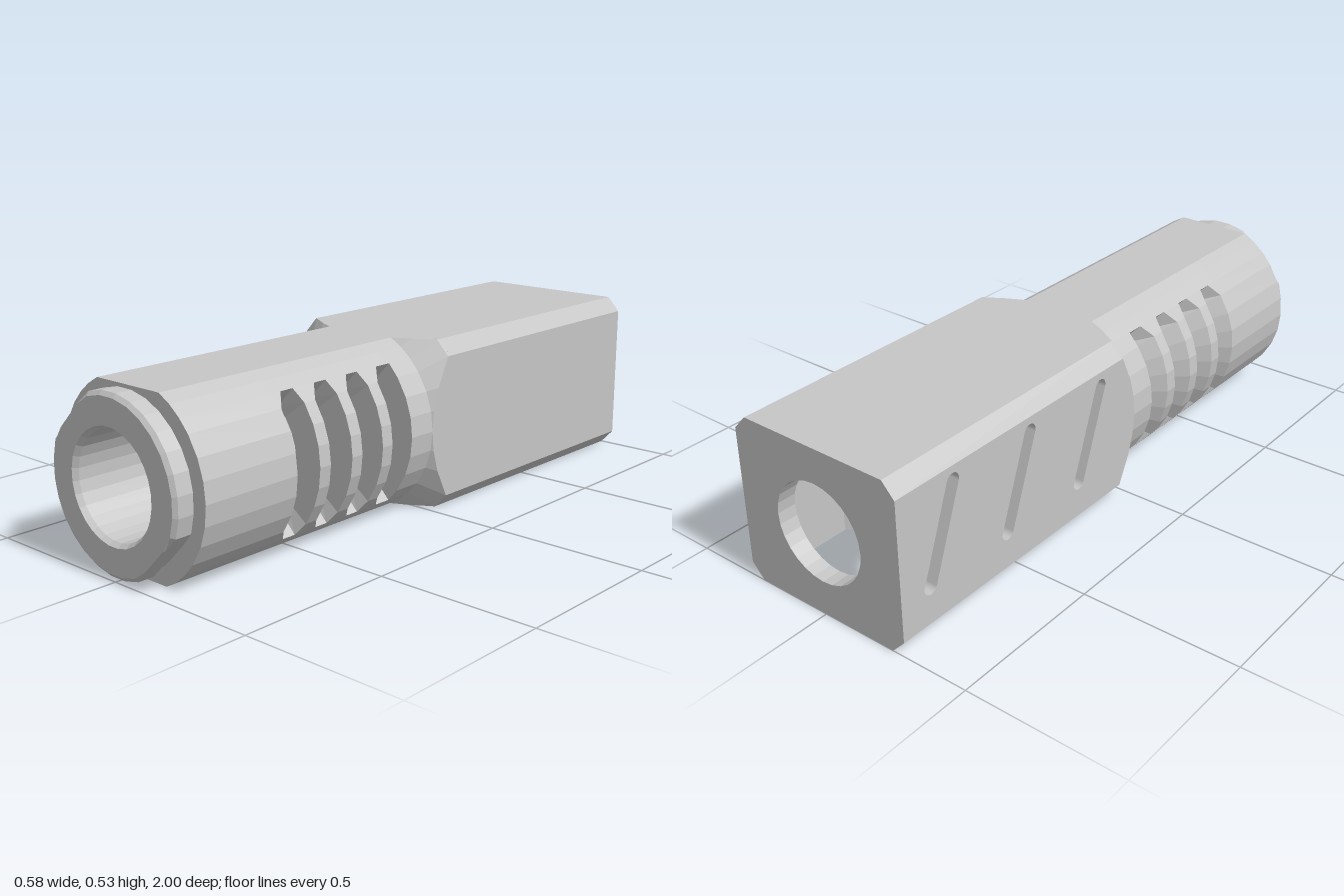
import * as THREE from 'three';

const CY = 0.2635;      // height of the bore axis
const HALF = 0.292;     // half width and barrel radius
const BORE = 0.155, CHAMBER = 0.2;

const steel = new THREE.MeshStandardMaterial({ color: 0xc6c6c6, flatShading: true });
steel.name = 'light grey steel';

// Angles around the bore, denser where flats and corners begin
const QUAD = [0, 12, 24, 36.8, 46.5, 55.5, 64.5, 77, 90];
function angle(i) {
  const q = Math.floor(i / 8), k = i - q * 8;
  const d = q % 2 === 0 ? 90 * q + QUAD[k] : 90 * q + 90 - QUAD[8 - k];
  return THREE.MathUtils.degToRad(d);
}
const range = (a, b) => Array.from({ length: b - a + 1 }, (_, i) => angle(a + i));
const FULL = range(0, 32);

// Radius of the barrel with flat top and bottom
const barrelR = t => Math.min(HALF, CY / Math.max(1e-6, Math.abs(Math.sin(t))));
// Radius of the chamfered square block
function blockR(t) {
  const c = Math.abs(Math.cos(t)), s = Math.abs(Math.sin(t));
  const nx = 0.045, ny = 0.042;
  const d = HALF * nx + (CY - 0.045) * ny;
  return Math.min(HALF / Math.max(c, 1e-6), CY / Math.max(s, 1e-6), d / (nx * c + ny * s));
}

// Sweeps a closed (radius, z) profile around the bore; entries may depend on the angle
function sweep(profile, angles) {
  const val = (v, t) => (typeof v === 'function' ? v(t) : v);
  const rows = angles.map(t => profile.map(([r, z]) => new THREE.Vector3(
    val(r, t) * Math.cos(t), CY + val(r, t) * Math.sin(t), val(z, t))));
  const pos = [], n = profile.length, last = rows.length - 1;
  const tri = (a, b, c) => {
    const area = b.clone().sub(a).cross(c.clone().sub(a)).length();
    if (area > 1e-8) for (const p of [a, b, c]) pos.push(p.x, p.y, p.z);
  };
  for (let i = 0; i < last; i++) {
    for (let j = 0; j < n; j++) {
      const k = (j + 1) % n;
      tri(rows[i][j], rows[i + 1][j], rows[i + 1][k]);
      tri(rows[i][j], rows[i + 1][k], rows[i][k]);
    }
  }
  if (angles[last] - angles[0] < Math.PI * 1.99) {
    for (let j = 1; j < n - 1; j++) {
      tri(rows[0][0], rows[0][j], rows[0][j + 1]);
      tri(rows[last][0], rows[last][j + 1], rows[last][j]);
    }
  }
  const g = new THREE.BufferGeometry();
  g.setAttribute('position', new THREE.Float32BufferAttribute(pos, 3));
  g.computeVertexNormals();
  return g;
}

const polygon = pts => new THREE.Shape(pts.map(p => new THREE.Vector2(...p)));
function extrude(shape, z0, z1) {
  const g = new THREE.ExtrudeGeometry(shape, { depth: z1 - z0, bevelEnabled: false, curveSegments: 14 });
  return g.translate(0, 0, z0);
}

export function createModel() {
  const model = new THREE.Group();
  const add = (name, geometry) => {
    const m = new THREE.Mesh(geometry, steel);
    m.name = name;
    model.add(m);
  };
  const band = (z0, z1) => [[CHAMBER, z0], [barrelR, z0], [barrelR, z1], [CHAMBER, z1]];

  // Barrel: solid ends joined by top and bottom bridges
  add('barrelFront', sweep(band(0.61, 0.93), FULL));
  add('barrelRear', sweep(band(0.03, 0.125), FULL));
  add('topBridge', sweep(band(0.125, 0.61), range(4, 12)));
  add('bottomBridge', sweep(band(0.125, 0.61), range(20, 28)));

  // Side ribs with a slanted rear face, widened at their ends so the vents have cut corners
  const atEnd = t => (Math.abs(Math.sin(t)) > 0.7 ? 1 : 0);
  const vents = [0.125, 0.255, 0.385, 0.515];
  vents.forEach((z, i) => {
    const end = t => (i < 3 ? vents[i + 1] + 0.012 * atEnd(t) : 0.61);
    const rib = [[CHAMBER, z + 0.012], [barrelR, t => z + 0.088 - 0.03 * atEnd(t)],
      [barrelR, end], [CHAMBER, end]];
    add('leftRib', sweep(rib, range(-4, 4)));
    add('rightRib', sweep(rib, range(12, 20)));
  });

  // Nose collar with two diagonal flats and an inner sleeve
  const noseAngles = Array.from({ length: 29 }, (_, i) => Math.PI * (0.75 + (i - 2) / 14));
  const noseR = inset => t => Math.min(0.258 - inset,
    0.2325 / Math.max(1e-6, Math.abs(Math.cos(t - Math.PI * 0.75))));
  add('noseCollar', sweep([
    [BORE, 0.65], [CHAMBER, 0.65], [CHAMBER, 0.93], [noseR(0.012), 0.93], [noseR(0), 0.94],
    [noseR(0), 0.99], [noseR(0.012), 1], [0.166, 1], [BORE, 0.985],
  ], noseAngles));

  // Block shoulder: corners cut back by a cone around the barrel
  const shoulderZ = t => 0.03 - Math.max(0, blockR(t) - HALF) * 0.96;
  add('blockShoulder', sweep([
    [BORE, -0.05], [blockR, -0.05], [blockR, shoulderZ],
    [t => Math.min(HALF, blockR(t)), 0.03], [BORE, 0.03],
  ], FULL));

  // Block roof and plain side wall
  add('roofAndLeftWall', extrude(polygon([
    [0.25, 0], [HALF, 0.045], [HALF, 0.482], [0.25, 0.527],
    [-0.25, 0.527], [-0.25, 0.475], [0.25, 0.475],
  ]), -1, -0.05));

  // Chamfer strips above and below the slotted wall
  add('upperChamfer', extrude(polygon([[-0.25, 0.482], [-0.25, 0.527], [-HALF, 0.482]]), -1, -0.05));
  add('lowerChamfer', extrude(polygon([[-0.25, 0], [-0.25, 0.045], [-HALF, 0.045]]), -1, -0.05));

  // Slotted side wall, drawn in (z, y) and turned to face -x
  const wall = polygon([[-1, 0.045], [-0.05, 0.045], [-0.05, 0.482], [-1, 0.482]]);
  const slotHalf = 0.024, lean = Math.atan2(0.1, 0.28);
  for (const z of [-0.89, -0.575, -0.25]) {
    const slot = new THREE.Path();
    slot.absarc(z + 0.1, 0.435, slotHalf, -lean, Math.PI - lean, false);
    slot.absarc(z, 0.16, slotHalf, Math.PI - lean, 2 * Math.PI - lean, false);
    slot.closePath();
    wall.holes.push(slot);
  }
  add('slottedRightWall', extrude(wall, 0, HALF - 0.25).rotateY(-Math.PI / 2).translate(-0.25, 0, 0));

  // End plate and baffles, each pierced by the bore; the chambers open downwards
  const plate = polygon([[-0.25, 0], [0.25, 0], [0.25, 0.475], [-0.25, 0.475]]);
  plate.holes.push(new THREE.Path().absarc(0, CY, BORE, 0, Math.PI * 2, true));
  add('endPlate', extrude(plate, -1, -0.94));
  add('rearBaffle', extrude(plate, -0.66, -0.63));
  add('frontBaffle', extrude(plate, -0.345, -0.315));

  // Fillets in the upright corners of the three chambers
  const f = 0.025;
  for (const [z0, z1] of [[-0.94, -0.66], [-0.63, -0.345], [-0.315, -0.05]]) {
    for (const side of [-1, 1]) {
      for (const [z, dir] of [[z0, 1], [z1, -1]]) {
        const corner = polygon([[side * 0.25, -z], [side * (0.25 - f), -z], [side * 0.25, -z - dir * f]]);
        add('chamberFillet', extrude(corner, 0, 0.475).rotateX(-Math.PI / 2));
      }
    }
  }

  return model;
}
